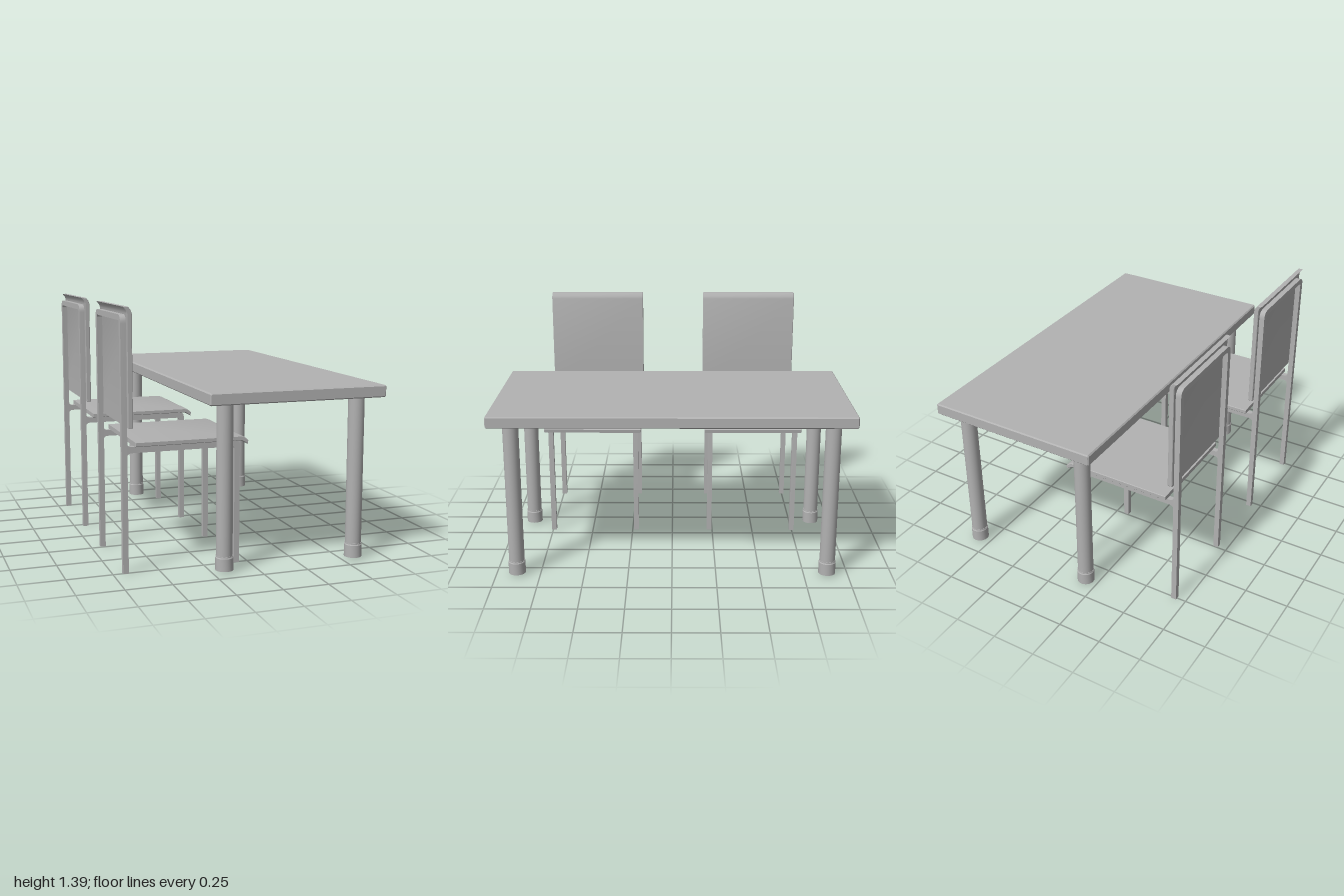
import * as THREE from 'three';
import { toCreasedNormals } from 'three/addons/utils/BufferGeometryUtils.js';

const grey = new THREE.MeshStandardMaterial({ color: 0xb2b2b2 });
grey.name = 'plain grey';

function part(name, geometry, parent) {
  const mesh = new THREE.Mesh(toCreasedNormals(geometry, 0.5), grey);
  mesh.name = name;
  parent.add(mesh);
  return mesh;
}

// Extrude a shape to a total depth, centred on z = 0, with a small bevel kept inside the outline
function slab(shape, depth, bevel = 0) {
  const geometry = new THREE.ExtrudeGeometry(shape, {
    depth: depth - 2 * bevel, curveSegments: 6, bevelEnabled: bevel > 0,
    bevelSize: bevel, bevelThickness: bevel, bevelOffset: -bevel, bevelSegments: 1,
  });
  return geometry.translate(0, 0, -(depth - 2 * bevel) / 2);
}

const outline = (points) => new THREE.Shape(points.map(([x, y]) => new THREE.Vector2(x, y)));

function buildTable() {
  const table = new THREE.Group();
  table.name = 'table';

  // Top plate with softened edges
  const plate = outline([[-0.3, 0.91], [-0.293, 0.904], [0.683, 0.904], [0.69, 0.91],
    [0.69, 0.962], [0.683, 0.969], [-0.293, 0.969], [-0.3, 0.962]]);
  part('tableTop', slab(plate, 2, 0.006), table);

  // Round legs with wider feet
  const profile = (points) => points.map(([r, y]) => new THREE.Vector2(r, y));
  for (const x of [-0.18, 0.574]) {
    for (const z of [-0.882, 0.882]) {
      const column = new THREE.CylinderGeometry(0.044, 0.044, 0.825, 24);
      part('tableLeg', column, table).position.set(x, 0.4925, z);
      const foot = new THREE.LatheGeometry(profile([[0, 0.01], [0.048, 0.01], [0.048, 0.078],
        [0.045, 0.083], [0.043, 0.083], [0.043, 0.087], [0.046, 0.087], [0.046, 0.09], [0.04, 0.09]]), 24);
      part('tableFoot', foot, table).position.set(x, 0, z);
    }
  }
  return table;
}

function buildChair() {
  const chair = new THREE.Group();
  chair.name = 'chair';

  // Rear frame: an inverted U with rounded top corners
  const w = 0.274, t = 0.03, h = 1.354, r = 0.045;
  const arch = new THREE.Shape();
  arch.moveTo(-w, 0);
  arch.lineTo(-w, h - r);
  arch.quadraticCurveTo(-w, h, -w + r, h);
  arch.lineTo(w - r, h);
  arch.quadraticCurveTo(w, h, w, h - r);
  arch.lineTo(w, 0);
  arch.lineTo(w - t, 0);
  arch.lineTo(w - t, h - r);
  arch.quadraticCurveTo(w - t, h - t, w - r, h - t);
  arch.lineTo(-w + r, h - t);
  arch.quadraticCurveTo(-w + t, h - t, -w + t, h - r);
  arch.lineTo(-w + t, 0);
  const rear = part('rearFrame', slab(arch, t), chair);
  rear.rotation.y = Math.PI / 2;
  rear.position.x = -0.682;

  // Side rails flaring into the rear frame and turning down into the front legs
  const rail = new THREE.Shape();
  rail.moveTo(-0.668, 0.693);
  rail.quadraticCurveTo(-0.666, 0.674, -0.645, 0.674);
  rail.lineTo(-0.072, 0.674);
  rail.quadraticCurveTo(-0.049, 0.672, -0.049, 0.65);
  rail.lineTo(-0.049, 0);
  rail.lineTo(-0.079, 0);
  rail.lineTo(-0.079, 0.63);
  rail.quadraticCurveTo(-0.08, 0.642, -0.09, 0.642);
  rail.lineTo(-0.645, 0.642);
  rail.quadraticCurveTo(-0.666, 0.642, -0.668, 0.622);
  for (const side of [-1, 1]) {
    part('sideFrame', slab(rail, t), chair).position.z = side * (w - t / 2);
  }

  // Seat with a lip bending down at the front
  const seat = outline([[-0.63, 0.676], [-0.045, 0.676], [-0.01, 0.655], [-0.007, 0.675],
    [-0.028, 0.694], [-0.045, 0.7], [-0.63, 0.7]]);
  part('seat', slab(seat, 0.587, 0.003), chair);

  // Back panel with a lip curling backwards at the top
  const back = outline([[-0.667, 0.775], [-0.64, 0.775], [-0.64, 1.36], [-0.645, 1.376],
    [-0.66, 1.395], [-0.687, 1.395], [-0.672, 1.376], [-0.667, 1.36]]);
  part('backPanel', slab(back, 0.587, 0.003), chair);
  return chair;
}

export function createModel() {
  const model = new THREE.Group();
  model.name = 'diningSet';
  model.add(buildTable());
  for (const z of [-0.49, 0.485]) {
    const chair = buildChair();
    chair.position.z = z;
    model.add(chair);
  }
  return model;
}
